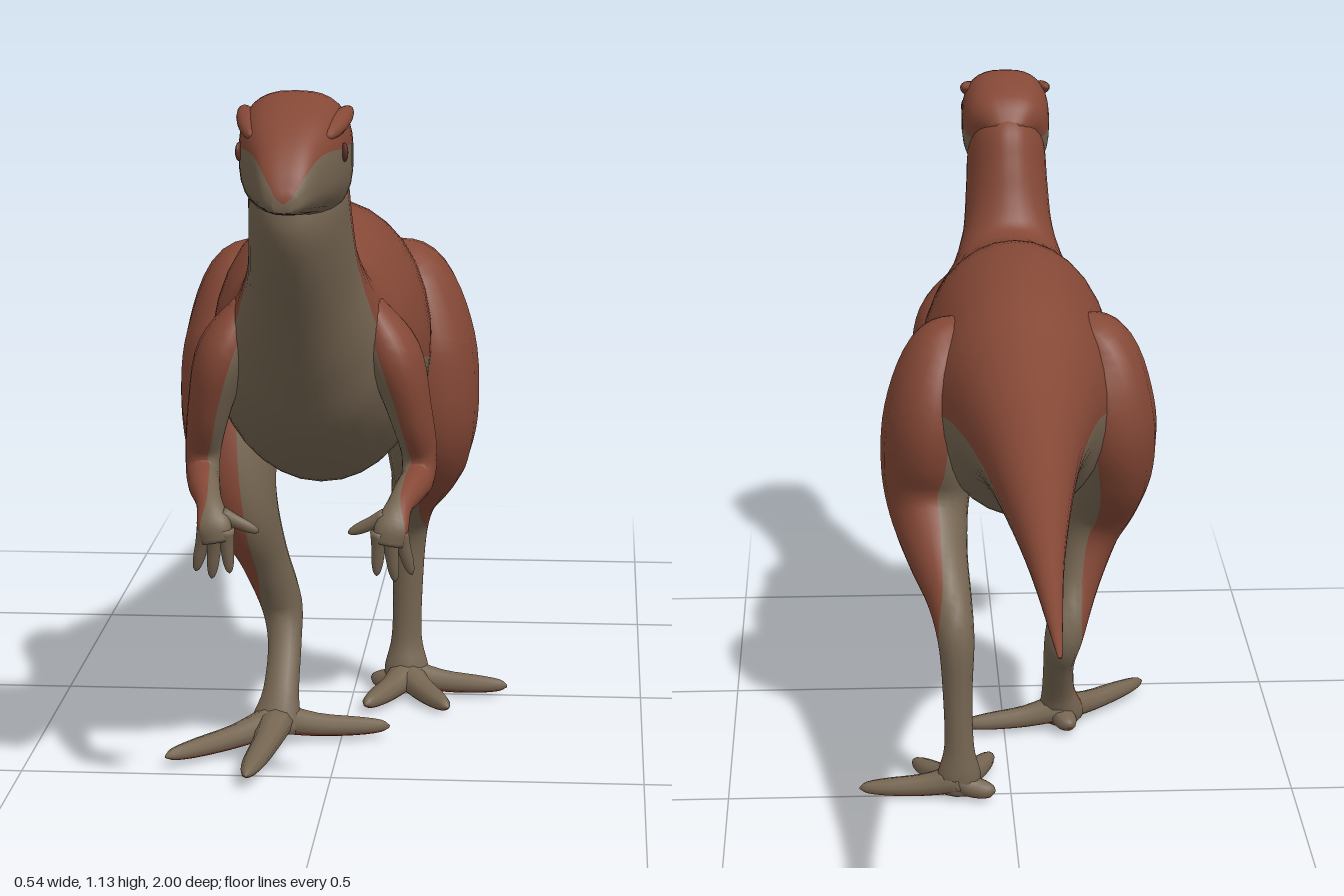
import * as THREE from 'three';

const rust = new THREE.MeshStandardMaterial({ color: 0x854836 });
rust.name = 'rust hide';
const tan = new THREE.MeshStandardMaterial({ color: 0x766652 });
tan.name = 'tan underside';
const dark = new THREE.MeshStandardMaterial({ color: 0x5a3025 });
dark.name = 'dark eye';

const MID = -0.025; // the body's centre line in x
const V3 = (x, y, z) => new THREE.Vector3(x, y, z);

// Smoothly resamples rows of numbers, with `steps` samples between rows
function smoothRows(rows, steps) {
  const stride = rows[0].length;
  const curve = new THREE.CubicInterpolant(rows.map((r, i) => i), rows.flat(), stride, new Array(stride));
  const count = (rows.length - 1) * steps;
  return Array.from({ length: count + 1 }, (_, i) => [...curve.evaluate(i / steps)]);
}

// Skins rings {c, u, v, s}: rust where the ring lies above s along v, tan elsewhere
function skin(name, rings, square = 1, half = 12) {
  const n = half * 2, pos = [], upper = [], lower = [];
  const bend = (t) => Math.sign(t) * Math.abs(t) ** square;
  for (const { c, u, v, s } of rings) {
    const a0 = Math.asin(THREE.MathUtils.clamp(s, -0.98, 0.98));
    for (let j = 0; j < n; j++) {
      const a = j < half
        ? a0 + (Math.PI - 2 * a0) * (j / half)
        : Math.PI - a0 + (Math.PI + 2 * a0) * ((j - half) / half);
      const p = c.clone().addScaledVector(u, bend(Math.cos(a))).addScaledVector(v, bend(Math.sin(a)));
      pos.push(p.x, p.y, p.z);
    }
  }
  const last = rings.length - 1;
  const travel = rings[1].c.clone().sub(rings[0].c);
  const flip = rings[0].u.clone().cross(rings[0].v).dot(travel) < 0;
  const tri = (list, a, b, c) => (flip ? list.push(a, c, b) : list.push(a, b, c));
  for (let i = 0; i < last; i++) {
    for (let j = 0; j < n; j++) {
      const k = (j + 1) % n, list = j < half ? upper : lower;
      const a = i * n + j, b = i * n + k;
      tri(list, a, b, b + n);
      tri(list, a, b + n, a + n);
    }
  }
  // end caps
  const start = (last + 1) * n;
  pos.push(...rings[0].c.toArray(), ...rings[last].c.toArray());
  for (let j = 0; j < n; j++) {
    const k = (j + 1) % n, list = j < half ? upper : lower;
    tri(list, start, k, j);
    tri(list, start + 1, last * n + j, last * n + k);
  }
  const geo = new THREE.BufferGeometry();
  geo.setAttribute('position', new THREE.Float32BufferAttribute(pos, 3));
  geo.setIndex([...upper, ...lower]);
  geo.addGroup(0, upper.length, 0);
  geo.addGroup(upper.length, lower.length, 1);
  geo.computeVertexNormals();
  const mesh = new THREE.Mesh(geo, [rust, tan]);
  mesh.name = name;
  return mesh;
}

// Trunk-like form; rows are [topZ, topY, bottomZ, bottomY, halfWidth, colour split]
function trunk(name, rows, steps, square) {
  const rings = smoothRows(rows, steps).map(([tz, ty, bz, by, w, s]) => ({
    c: V3(MID, (ty + by) / 2, (tz + bz) / 2),
    u: V3(Math.max(w, 0.002), 0, 0),
    v: V3(0, (ty - by) / 2, (tz - bz) / 2),
    s,
  }));
  return skin(name, rings, square, 16);
}

// Limb; rows are [x, y, z, half size along `out`, half size across, colour split]
function limb(name, rows, out, steps = 5, half = 10) {
  const data = smoothRows(rows, steps);
  const centre = data.map((d) => V3(d[0], d[1], d[2]));
  const rings = data.map((d, i) => {
    const t = centre[Math.min(i + 1, data.length - 1)].clone().sub(centre[Math.max(i - 1, 0)]).normalize();
    const v = out.clone().addScaledVector(t, -out.dot(t)).normalize();
    const u = t.clone().cross(v);
    return { c: centre[i], u: u.multiplyScalar(d[4]), v: v.multiplyScalar(d[3]), s: d[5] };
  });
  return skin(name, rings, 1, half);
}

// Toe or finger tapering from a base to a tip through a raised knuckle
function digit(name, base, tip, r, lift, out) {
  const at = (f, up) => base.map((b, i) => b + (tip[i] - b) * f + (i === 1 ? up : 0));
  return limb(name, [
    [...at(0, 0), r, r * 1.2, 0.5],
    [...at(0.35, -lift), r * 0.75, r * 0.9, 0.5],
    [...at(0.7, -lift * 0.5), r * 0.6, r * 0.75, 0.5],
    [...at(0.92, 0), r * 0.4, r * 0.45, 0.5],
    [...tip, r * 0.08, r * 0.08, 0.5],
  ], out, 3, 6);
}

function foot(name, base, tips) {
  const g = new THREE.Group();
  g.name = name;
  for (const tip of tips) g.add(digit('toe', base, tip, 0.026, 0.006, V3(0, -1, 0)));
  return g;
}

function arm(side, name) {
  const g = new THREE.Group();
  g.name = name;
  const mx = (x) => MID + side * x;
  const rows = [
    [0.09, 0.79, 0.60, 0.02, 0.03, -0.5],
    [0.13, 0.71, 0.60, 0.042, 0.065, -0.4],
    [0.155, 0.62, 0.588, 0.034, 0.05, -0.4],
    [0.168, 0.55, 0.563, 0.028, 0.036, -0.4],
    [0.167, 0.51, 0.58, 0.026, 0.029, -0.4],
    [0.158, 0.502, 0.635, 0.024, 0.024, -0.3],
    [0.145, 0.488, 0.685, 0.02, 0.018, 0.1],
    [0.135, 0.462, 0.714, 0.026, 0.015, 0.8],
    [0.13, 0.435, 0.718, 0.022, 0.012, 0.98],
  ];
  g.add(limb('armAndPalm', rows.map(([x, ...r]) => [mx(x), ...r]), V3(side, 0, 0)));
  // fingers and thumb
  const fingers = [
    [[0.147, 0.455, 0.715], [0.165, 0.385, 0.70]],
    [[0.132, 0.45, 0.718], [0.14, 0.375, 0.705]],
    [[0.117, 0.455, 0.718], [0.112, 0.385, 0.71]],
    [[0.125, 0.475, 0.705], [0.068, 0.448, 0.70]],
  ];
  for (const [a, b] of fingers) {
    g.add(digit('finger', [mx(a[0]), a[1], a[2]], [mx(b[0]), b[1], b[2]], 0.012, 0, V3(0, 0, -1)));
  }
  return g;
}

export function createModel() {
  const model = new THREE.Group();
  model.name = 'bipedal dinosaur';

  // tail, torso and neck as one skin
  model.add(trunk('body', [
    [-1, 0.66, -1, 0.657, 0.003, -0.15],
    [-0.6, 0.703, -0.6, 0.637, 0.032, -0.15],
    [-0.2, 0.765, -0.2, 0.6, 0.08, -0.05],
    [0, 0.825, 0, 0.55, 0.122, 0],
    [0.16, 0.885, 0.13, 0.475, 0.16, -0.05],
    [0.35, 0.91, 0.33, 0.45, 0.175, -0.08],
    [0.5, 0.882, 0.5, 0.5, 0.16, -0.03],
    [0.56, 0.873, 0.62, 0.575, 0.135, -0.1],
    [0.595, 0.885, 0.69, 0.66, 0.108, -0.1],
    [0.62, 0.93, 0.76, 0.76, 0.085, 0],
    [0.642, 0.99, 0.83, 0.86, 0.077, -0.05],
    [0.67, 1.05, 0.86, 0.92, 0.073, -0.1],
    [0.73, 1.09, 0.86, 0.97, 0.06, -0.1],
  ], 6, 1));

  // head with squared cheeks and a tapering snout
  model.add(trunk('head', [
    [0.675, 1.05, 0.76, 0.99, 0.04, 0],
    [0.715, 1.1, 0.765, 0.947, 0.074, 0],
    [0.8, 1.13, 0.8, 0.943, 0.083, 0.1],
    [0.88, 1.113, 0.87, 0.957, 0.074, 0.15],
    [0.94, 1.078, 0.94, 0.965, 0.052, 0.4],
    [0.98, 1.038, 0.985, 0.972, 0.035, 0.6],
    [1, 1.0, 1, 0.976, 0.015, 0.7],
  ], 5, 0.75));

  // eyes and brow ridges
  for (const side of [-1, 1]) {
    const eye = new THREE.Mesh(new THREE.SphereGeometry(1, 14, 10), dark);
    eye.name = 'eye';
    eye.scale.set(0.005, 0.014, 0.011);
    eye.position.set(MID + side * 0.076, 1.048, 0.87);
    eye.rotation.y = side * 0.25;
    const brow = new THREE.Mesh(new THREE.SphereGeometry(1, 16, 10), rust);
    brow.name = 'browRidge';
    brow.scale.set(0.016, 0.014, 0.065);
    brow.position.set(MID + side * 0.065, 1.088, 0.85);
    brow.rotation.set(0.25, -side * 0.2, 0);
    model.add(eye, brow);
  }

  // left leg, planted back
  model.add(limb('leftLeg', [
    [0.07, 0.815, 0.19, 0.02, 0.03, -0.4],
    [0.112, 0.765, 0.185, 0.06, 0.085, -0.4],
    [0.135, 0.66, 0.18, 0.08, 0.122, -0.4],
    [0.14, 0.55, 0.19, 0.082, 0.108, -0.3],
    [0.138, 0.475, 0.165, 0.07, 0.082, -0.2],
    [0.125, 0.415, 0.1, 0.054, 0.06, -0.1],
    [0.107, 0.36, 0.035, 0.04, 0.045, 0.3],
    [0.096, 0.295, -0.006, 0.032, 0.034, 0.98],
    [0.094, 0.2, -0.012, 0.026, 0.025, 0.98],
    [0.092, 0.1, -0.014, 0.026, 0.022, 0.98],
    [0.092, 0.045, -0.01, 0.038, 0.028, 0.98],
    [0.092, 0.012, -0.005, 0.034, 0.026, 0.98],
  ], V3(1, 0, 0)));
  model.add(foot('leftFoot', [0.092, 0.035, -0.008],
    [[0.268, 0.015, 0.0], [0.17, 0.01, 0.125], [0.03, 0.015, 0.135], [0.03, 0.015, -0.03]]));

  // right leg, stepping forward
  model.add(limb('rightLeg', [
    [-0.12, 0.815, 0.2, 0.02, 0.03, -0.4],
    [-0.165, 0.765, 0.2, 0.06, 0.085, -0.4],
    [-0.183, 0.66, 0.205, 0.08, 0.13, -0.4],
    [-0.188, 0.56, 0.24, 0.08, 0.122, -0.3],
    [-0.175, 0.46, 0.285, 0.07, 0.09, -0.2],
    [-0.155, 0.385, 0.288, 0.053, 0.072, -0.1],
    [-0.13, 0.3, 0.25, 0.04, 0.046, 0.2],
    [-0.106, 0.215, 0.213, 0.035, 0.04, 0.9],
    [-0.098, 0.15, 0.238, 0.028, 0.028, 0.98],
    [-0.1, 0.08, 0.285, 0.03, 0.028, 0.98],
    [-0.106, 0.03, 0.305, 0.042, 0.03, 0.98],
    [-0.106, 0.012, 0.31, 0.034, 0.026, 0.98],
  ], V3(-1, 0, 0)));
  model.add(foot('rightFoot', [-0.104, 0.038, 0.3],
    [[-0.27, 0.018, 0.47], [-0.13, 0.022, 0.575], [0.08, 0.018, 0.27], [-0.12, 0.02, 0.245]]));

  model.add(arm(1, 'leftArm'), arm(-1, 'rightArm'));
  return model;
}
